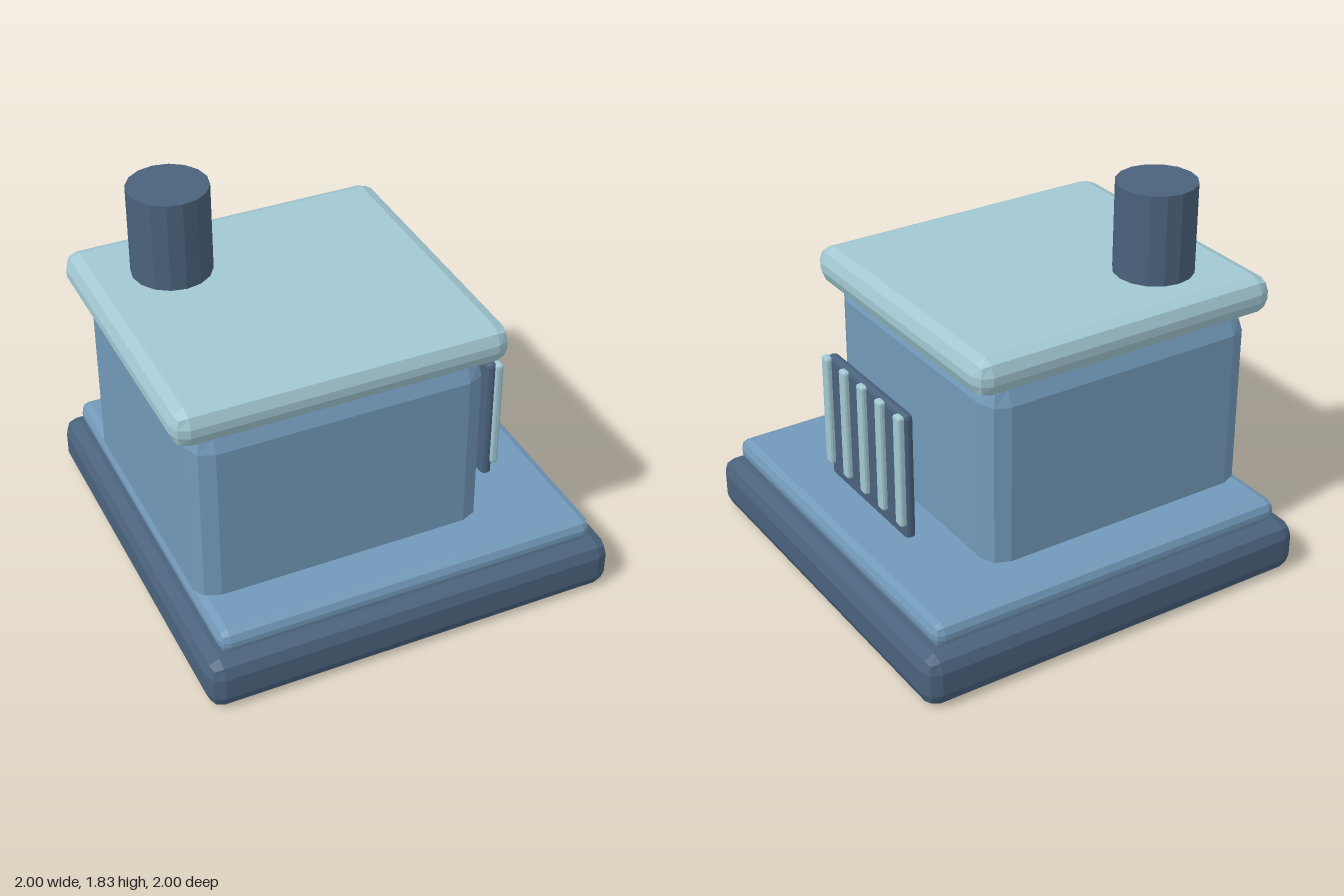
import * as THREE from 'three';
import { RoundedBoxGeometry } from 'three/addons/geometries/RoundedBoxGeometry.js';

function flatMaterial(name, color) {
  const material = new THREE.MeshStandardMaterial({ color, flatShading: true });
  material.name = name;
  return material;
}

// Bevelled box given by its extents along each axis
function bevelBox(name, [x0, x1], [y0, y1], [z0, z1], radius, material) {
  const geometry = new RoundedBoxGeometry(x1 - x0, y1 - y0, z1 - z0, 1, radius);
  geometry.computeVertexNormals(); // faceted bevels
  const mesh = new THREE.Mesh(geometry, material);
  mesh.name = name;
  mesh.position.set((x0 + x1) / 2, (y0 + y1) / 2, (z0 + z1) / 2);
  return mesh;
}

export function createModel() {
  const model = new THREE.Group();
  model.name = 'building';

  const navy = flatMaterial('dark slate blue', 0x4a627c);
  const blue = flatMaterial('steel blue', 0x7299b9);
  const pale = flatMaterial('pale teal', 0xa2c8d3);

  // Stacked base, walls and overhanging roof
  model.add(
    bevelBox('foundation', [-1, 1], [0, 0.25], [-1, 1], 0.07, navy),
    bevelBox('floorSlab', [-0.92, 0.92], [0.25, 0.365], [-0.935, 0.935], 0.045, blue),
    bevelBox('walls', [-0.912, 0.48], [0.26, 1.24], [-0.68, 0.68], 0.1, blue),
    bevelBox('roof', [-1, 0.564], [1.22, 1.4], [-0.718, 0.718], 0.07, pale),
  );

  // Chimney
  const chimney = new THREE.Mesh(new THREE.CylinderGeometry(0.187, 0.187, 0.46, 16), navy);
  chimney.name = 'chimney';
  chimney.position.set(-0.596, 1.6, -0.35);
  model.add(chimney);

  // Free-standing shutter in front of the right wall, with five slats
  const shutter = new THREE.Group();
  shutter.name = 'shutter';
  shutter.add(bevelBox('shutterPanel', [0.623, 0.674], [0.31, 0.99], [-0.278, 0.422], 0.02, navy));
  for (let i = 0; i < 5; i++) {
    const z = 0.407 - i * 0.1625;
    shutter.add(bevelBox('shutterSlat', [0.66, 0.699], [0.422, 0.985], [z - 0.028, z + 0.028], 0.012, pale));
  }
  model.add(shutter);

  return model;
}
